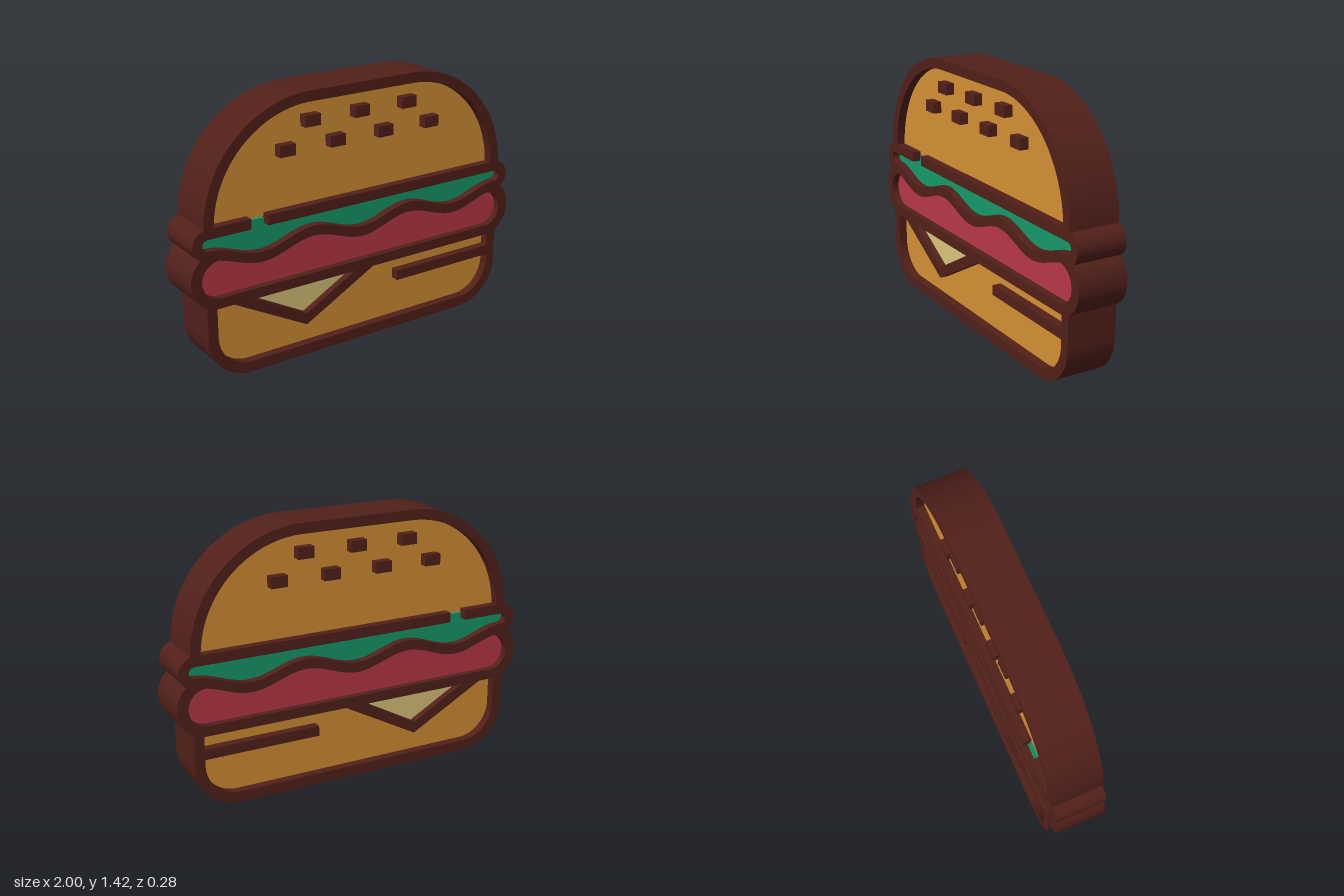
import * as THREE from 'three';
import { toCreasedNormals } from 'three/addons/utils/BufferGeometryUtils.js';

const DEPTH = 0.275;
const H = Math.PI / 2;
const COLORS = { crust: 0x52201a, bun: 0xd69134, lettuce: 0x169b6b, patty: 0xbb3848, cheese: 0xdcc67c };

const wave = (x) => 0.68 - 0.035 * Math.cos((x * 2 * Math.PI) / 0.6);

// Draw the lettuce ripple from x0 to x1, shifted vertically by dy
function ripple(path, x0, x1, dy) {
  for (let i = 0; i <= 64; i++) {
    const x = x0 + ((x1 - x0) * i) / 64;
    path.lineTo(x, wave(x) + dy);
  }
}

// Close a right-hand half profile by mirroring it across x = 0
function mirrored(half) {
  const right = half.getPoints(24);
  const left = right.map((p) => new THREE.Vector2(-p.x, p.y)).reverse();
  return new THREE.Shape([...right, ...left]);
}

function polygon(points) {
  return new THREE.Shape(points.map(([x, y]) => new THREE.Vector2(x, y)));
}

// Slab centred on z = 0, smooth along curves and sharp at the rims
function slab(name, shape, depth, color) {
  const geometry = new THREE.ExtrudeGeometry(shape, { depth, bevelEnabled: false, curveSegments: 24 });
  geometry.translate(0, 0, -depth / 2);
  const mesh = new THREE.Mesh(toCreasedNormals(geometry, 0.5), new THREE.MeshStandardMaterial({ color }));
  mesh.name = name;
  return mesh;
}

// Outer silhouette of the whole burger
function silhouette() {
  const half = new THREE.Path();
  half.moveTo(0.68, 0);
  half.absarc(0.68, 0.24, 0.24, -H, 0);
  half.absarc(0.84, 0.555, 0.16, -1.052, 0.86);
  half.absarc(0.9, 0.745, 0.083, -0.986, 1.326);
  half.absarc(0.31, 0.81, 0.61, 0.03, H);
  return mirrored(half);
}

// Opening of the top bun, joined to the lettuce through a small gap
function topOpening() {
  const p = new THREE.Shape();
  p.moveTo(-0.565, 0.83);
  p.lineTo(0.865, 0.83);
  p.absarc(0.31, 0.81, 0.555, 0.036, H);
  p.absarc(-0.31, 0.81, 0.555, H, Math.PI - 0.036);
  p.lineTo(-0.66, 0.83);
  p.lineTo(-0.66, 0.775);
  p.absarc(-0.9, 0.745, 0.03, H, 3 * H);
  ripple(p, -0.88, 0.88, 0);
  p.absarc(0.9, 0.745, 0.03, -H, H);
  p.lineTo(-0.565, 0.775);
  return p;
}

function pattyOpening() {
  const p = new THREE.Shape();
  p.moveTo(-0.84, 0.455);
  p.lineTo(0.84, 0.455);
  p.absarc(0.84, 0.555, 0.1, -H, H);
  ripple(p, 0.83, -0.83, -0.055);
  p.absarc(-0.84, 0.555, 0.1, H, 3 * H);
  return p;
}

// Opening of the bottom bun, cut by the cheese border and the side slit line
function bottomOpening() {
  const p = new THREE.Shape();
  p.moveTo(-0.68, 0.058);
  p.lineTo(0.68, 0.058);
  p.absarc(0.68, 0.243, 0.185, -H, 0);
  for (const [x, y] of [[0.865, 0.275], [0.23, 0.275], [0.23, 0.33], [0.865, 0.33], [0.865, 0.4],
    [0.07, 0.4], [-0.35, 0.172], [-0.77, 0.4], [-0.865, 0.4]]) p.lineTo(x, y);
  p.absarc(-0.68, 0.243, 0.185, Math.PI, 3 * H);
  return p;
}

export function createModel() {
  const group = new THREE.Group();

  // Dark outline frame running through the full thickness
  const frame = silhouette();
  const cheeseOpening = polygon([[-0.65, 0.4], [-0.35, 0.235], [-0.05, 0.4]]);
  frame.holes.push(topOpening(), pattyOpening(), bottomOpening(), cheeseOpening);
  group.add(slab('outlineFrame', frame, DEPTH, COLORS.crust));

  // Recessed bun fills, with edges buried in the frame
  const dome = new THREE.Path();
  dome.moveTo(0.89, 0.805);
  dome.absarc(0.31, 0.81, 0.58, 0, H);
  group.add(slab('topBun', mirrored(dome), 0.18, COLORS.bun));

  const base = new THREE.Path();
  base.moveTo(0.68, 0.03);
  base.absarc(0.68, 0.24, 0.21, -H, 0);
  base.lineTo(0.89, 0.425);
  group.add(slab('bottomBun', mirrored(base), 0.18, COLORS.bun));

  // Lettuce fill
  const lettuce = new THREE.Shape();
  lettuce.moveTo(-0.9, 0.805);
  lettuce.absarc(-0.9, 0.75, 0.055, H, 3 * H);
  ripple(lettuce, -0.88, 0.88, -0.025);
  lettuce.absarc(0.9, 0.75, 0.055, -H, H);
  group.add(slab('lettuce', lettuce, 0.19, COLORS.lettuce));

  // Patty fill
  const patty = new THREE.Shape();
  patty.moveTo(-0.84, 0.43);
  patty.lineTo(0.84, 0.43);
  patty.absarc(0.84, 0.555, 0.125, -H, H);
  ripple(patty, 0.83, -0.83, -0.03);
  patty.absarc(-0.84, 0.555, 0.125, H, 3 * H);
  group.add(slab('patty', patty, 0.2, COLORS.patty));

  // Cheese corner
  group.add(slab('cheese', polygon([[-0.7, 0.42], [-0.35, 0.21], [0, 0.42]]), 0.2, COLORS.cheese));

  // Sesame seeds passing through the top bun
  const seeds = new THREE.Group();
  seeds.name = 'sesameSeeds';
  const seedGeometry = new THREE.BoxGeometry(0.09, 0.06, DEPTH);
  const seedMaterial = new THREE.MeshStandardMaterial({ color: COLORS.crust });
  for (const [y, startX, count] of [[1.267, -0.298, 3], [1.138, -0.445, 4]]) {
    for (let i = 0; i < count; i++) {
      const seed = new THREE.Mesh(seedGeometry, seedMaterial);
      seed.name = 'seed';
      seed.position.set(startX + i * 0.295, y, 0);
      seeds.add(seed);
    }
  }
  group.add(seeds);

  return group;
}
